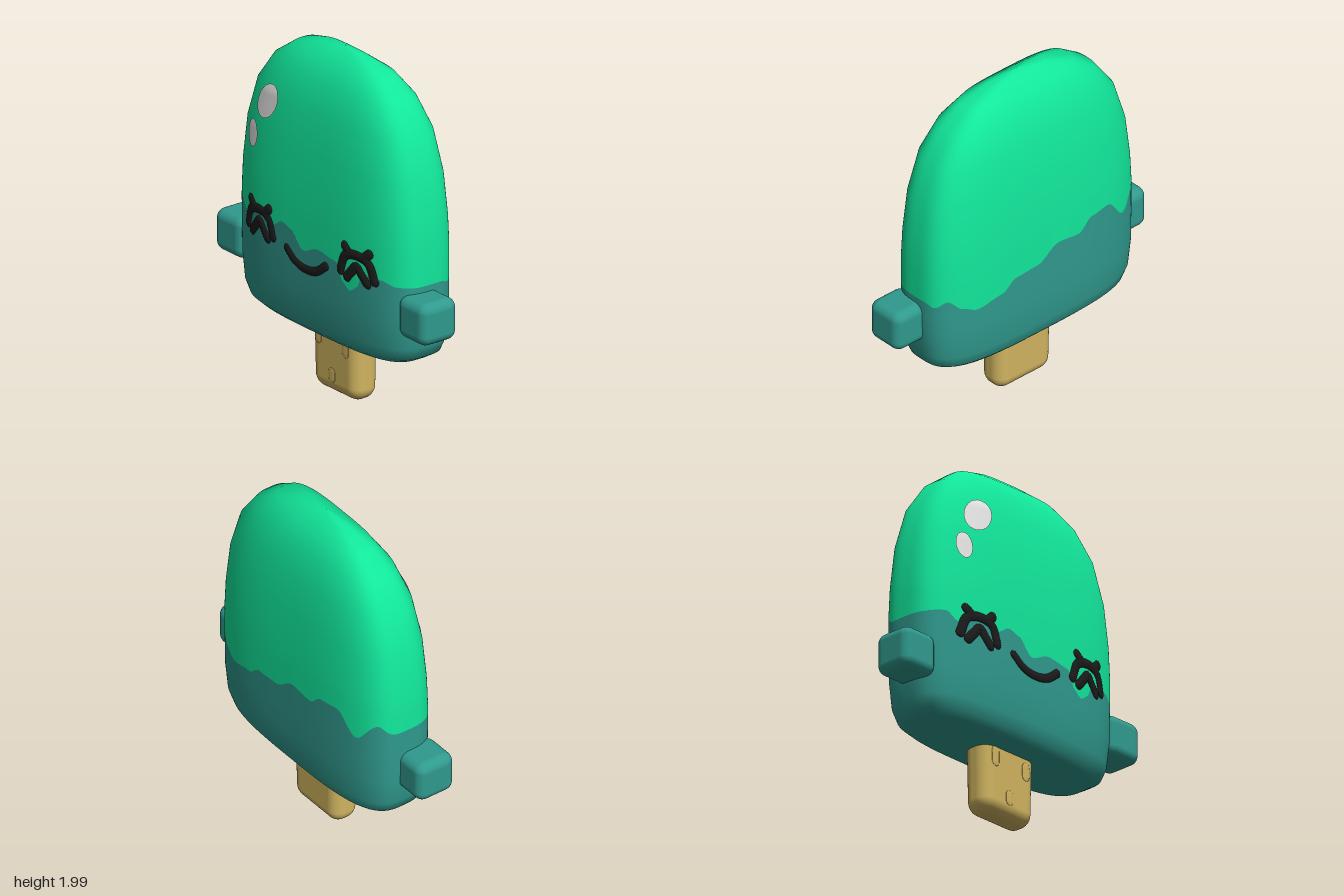
import * as THREE from 'three';
import { mergeGeometries } from 'three/addons/utils/BufferGeometryUtils.js';
import { RoundedBoxGeometry } from 'three/addons/geometries/RoundedBoxGeometry.js';

const material = (name, color, side = THREE.FrontSide) => {
  const m = new THREE.MeshStandardMaterial({ color, side });
  m.name = name;
  return m;
};

// Body profile: height, half width, half depth
const PROFILE = [
  [0.383, 0, 0], [0.385, 0.54, 0.16], [0.4, 0.63, 0.205], [0.43, 0.68, 0.235],
  [0.5, 0.71, 0.255], [0.65, 0.726, 0.266], [1.0, 0.73, 0.27], [1.2, 0.72, 0.265],
  [1.44, 0.692, 0.25], [1.67, 0.622, 0.222], [1.83, 0.51, 0.175], [1.93, 0.37, 0.115],
  [1.985, 0.19, 0.045], [2, 0, 0],
];
const POWER = 3.2;

// Height of the wavy edge between the two colours, by x
const FRONT_EDGE = [
  [-0.73, 0.97], [-0.62, 0.98], [-0.55, 0.93], [-0.42, 1.0], [-0.3, 0.94], [-0.2, 0.99],
  [-0.13, 0.97], [-0.03, 0.88], [0.1, 0.925], [0.25, 0.905], [0.31, 0.8], [0.36, 0.77],
  [0.41, 0.8], [0.46, 0.89], [0.58, 0.89], [0.66, 0.865], [0.73, 0.86],
];
const BACK_EDGE = [
  [-0.73, 0.97], [-0.68, 1.03], [-0.56, 0.915], [-0.43, 1.04], [-0.3, 1.03], [-0.21, 0.965],
  [-0.06, 0.98], [0.09, 0.9], [0.24, 0.89], [0.34, 0.825], [0.5, 0.79], [0.58, 0.82],
  [0.66, 0.88], [0.71, 0.84], [0.73, 0.86],
];

// Interpolates column k of a table, optionally easing between the rows
function lookup(table, v, k, ease = false) {
  let i = 1;
  while (i < table.length - 1 && table[i][0] < v) i++;
  const [a, b] = [table[i - 1], table[i]];
  let t = THREE.MathUtils.clamp((v - a[0]) / (b[0] - a[0]), 0, 1);
  if (ease) t = t * t * (3 - 2 * t);
  return a[k] + (b[k] - a[k]) * t;
}

// Depth of the front surface at x, y
function frontZ(x, y) {
  const w = Math.min(1, Math.abs(x) / Math.max(lookup(PROFILE, y, 1), 0.001));
  return lookup(PROFILE, y, 2) * Math.pow(1 - Math.pow(w, POWER), 1 / POWER);
}

// Lofts rounded cross-sections; rowsAt gives the heights for each edge height
function bodyShell(rowsAt, columns = 240) {
  const pos = [], index = [];
  let rows = 0;
  for (let j = 0; j < columns; j++) {
    const t = (j / columns) * Math.PI * 2, c = Math.cos(t), s = Math.sin(t);
    const r = Math.pow(Math.abs(c) ** POWER + Math.abs(s) ** POWER, -1 / POWER);
    const edge = lookup(s >= 0 ? FRONT_EDGE : BACK_EDGE, c * r * 0.73, 1, true);
    const heights = rowsAt(edge);
    rows = heights.length;
    for (const y of heights) pos.push(c * r * lookup(PROFILE, y, 1), y, s * r * lookup(PROFILE, y, 2));
  }
  for (let j = 0; j < columns; j++) {
    for (let i = 0; i < rows - 1; i++) {
      const a = j * rows + i, b = ((j + 1) % columns) * rows + i;
      index.push(a, a + 1, b, b, a + 1, b + 1);
    }
  }
  const g = new THREE.BufferGeometry();
  g.setAttribute('position', new THREE.Float32BufferAttribute(pos, 3));
  g.setIndex(index);
  g.computeVertexNormals();
  return g;
}

// Lays a flat geometry onto the front of the body
function wrapOnFront(g, lift = 0) {
  const p = g.attributes.position;
  for (let i = 0; i < p.count; i++) p.setZ(i, p.getZ(i) + frontZ(p.getX(i), p.getY(i)) + lift);
  g.computeVertexNormals();
  return g;
}

// Round-ended flattened stroke through x, y points
function stroke(points, radius) {
  const v = points.map(([x, y]) => new THREE.Vector3(x, y, 0));
  const parts = [new THREE.TubeGeometry(new THREE.CatmullRomCurve3(v), 24, radius, 10)];
  for (const end of [v[0], v[v.length - 1]]) {
    parts.push(new THREE.SphereGeometry(radius, 12, 8).translate(end.x, end.y, 0));
  }
  return mergeGeometries(parts).scale(1, 1, 0.35);
}

export function createModel() {
  const group = new THREE.Group();
  const green = material('green icing', 0x12e89c);
  const teal = material('teal ice', 0x309a8e);
  const wood = material('wood', 0xd0b460);
  const black = material('black', 0x1c1c1c);
  const white = material('white', 0xf6f6f6, THREE.DoubleSide);
  const add = (name, geometry, mat) => {
    const mesh = new THREE.Mesh(geometry, mat);
    mesh.name = name;
    group.add(mesh);
    return mesh;
  };

  // Two-coloured body
  const levels = PROFILE.map((p) => p[0]);
  const low = levels.filter((y) => y <= 0.65), high = levels.filter((y) => y >= 1.2);
  add('lowerBody', bodyShell((e) => [...low, (0.65 + e) / 2, e]), teal);
  add('upperIcing', bodyShell((e) => [e, (1.2 + e) / 2, ...high]), green);

  // Stick, slightly narrowed towards its foot
  const stick = new RoundedBoxGeometry(0.4, 0.5, 0.18, 5, 0.075).translate(0, 0.26, 0);
  const sp = stick.attributes.position;
  for (let i = 0; i < sp.count; i++) {
    const k = Math.min(1, 0.9 + sp.getY(i) * 0.4);
    sp.setXYZ(i, sp.getX(i) * (0.5 + k / 2), sp.getY(i), sp.getZ(i) * k);
  }
  add('stick', stick, wood);

  // Wood grain
  [[-0.12, 0.33, 0.06], [0.11, 0.31, 0.05], [-0.01, 0.12, 0.03]].forEach(([x, y, h]) => {
    const g = new THREE.CapsuleGeometry(0.028, h, 4, 12).scale(1, 1, 0.12);
    add('grain', g.translate(x, y, y < 0.2 ? 0.086 : 0.09), wood);
  });

  // Arms
  for (const side of [1, -1]) {
    const arm = add(side > 0 ? 'leftArm' : 'rightArm', new RoundedBoxGeometry(0.24, 0.24, 0.24, 4, 0.055), teal);
    arm.position.set(side * 0.78, 0.705, 0.065);
  }

  // Closed eyes with lashes
  const eyeStrokes = [
    [[-0.125, 0.87], [-0.085, 0.965], [0, 0.99], [0.085, 0.965], [0.125, 0.87]],
    [[-0.075, 0.845], [-0.035, 0.89], [0, 0.925], [0.035, 0.89], [0.075, 0.845]],
    [[-0.09, 1.02], [-0.05, 0.985]],
    [[0.09, 1.02], [0.05, 0.985]],
  ];
  for (const side of [1, -1]) {
    const parts = eyeStrokes.map((s) => stroke(s.map(([x, y]) => [side * 0.413 + x, y]), 0.028));
    add(side > 0 ? 'leftEye' : 'rightEye', wrapOnFront(mergeGeometries(parts)), black);
  }

  // Smile
  const smile = [[-0.165, 0.85], [-0.09, 0.797], [0, 0.78], [0.09, 0.797], [0.165, 0.85]];
  add('mouth', wrapOnFront(stroke(smile, 0.025)), black);

  // Shine spots
  [[-0.39, 1.61, 0.115, 0.08, 0.85], [-0.503, 1.395, 0.052, 0.077, 0]].forEach(([x, y, rx, ry, turn]) => {
    const g = new THREE.RingGeometry(0, 1, 32, 5).scale(rx, ry, 1).rotateZ(turn).translate(x, y, 0);
    add('shine', wrapOnFront(g, 0.009), white);
  });

  return group;
}
